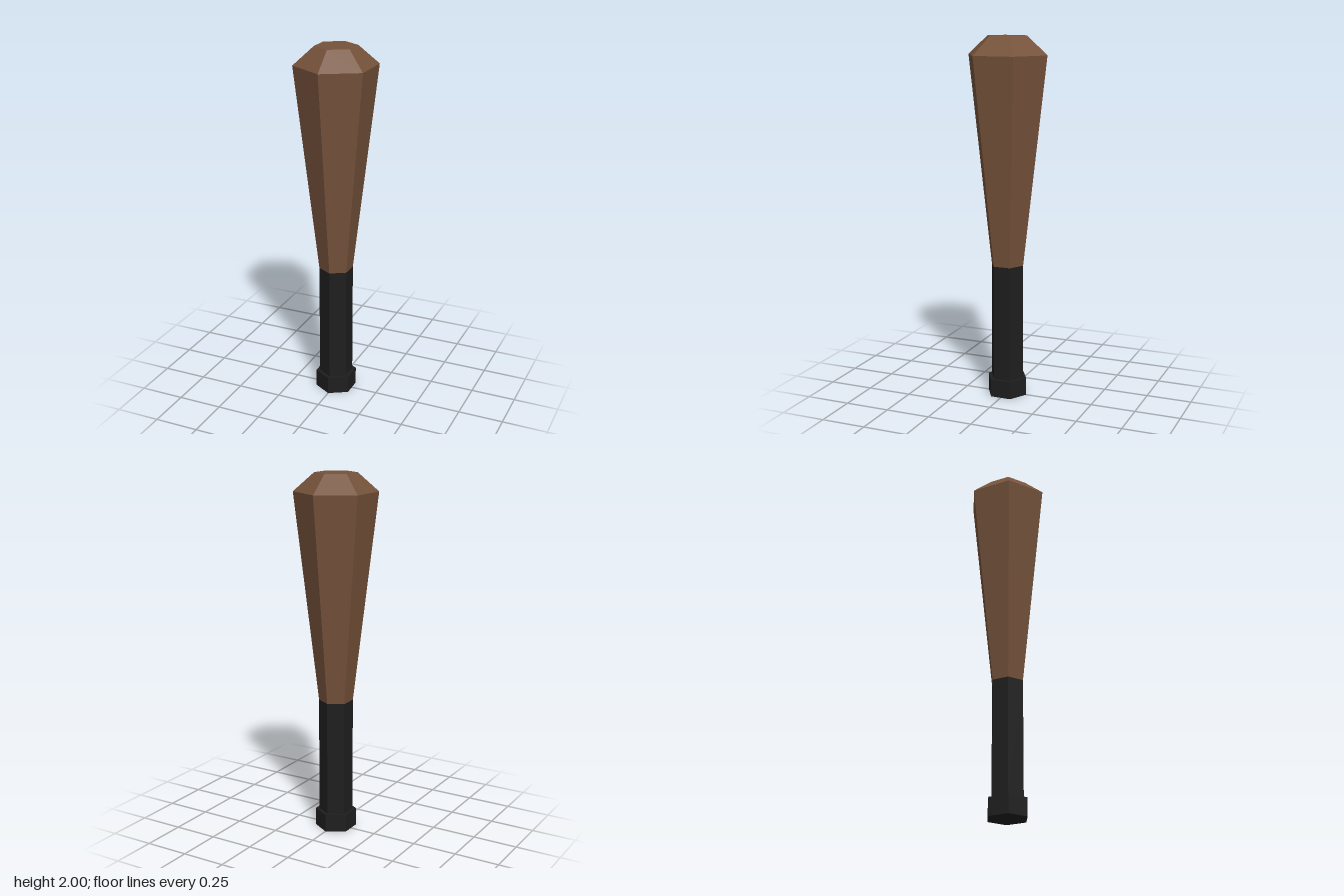
import * as THREE from 'three';

const wood = new THREE.MeshStandardMaterial({ color: 0x75523a, flatShading: true });
const wrap = new THREE.MeshStandardMaterial({ color: 0x1e1e1e, flatShading: true });

// Six-sided section from height y0 to y1, with a corner facing front
function section(name, material, y0, y1, bottomRadius, topRadius, open = false) {
  const geometry = new THREE.CylinderGeometry(topRadius, bottomRadius, y1 - y0, 6, 1, open);
  geometry.translate(0, (y0 + y1) / 2, 0);
  const mesh = new THREE.Mesh(geometry, material);
  mesh.name = name;
  return mesh;
}

// Wooden barrel: one continuous surface, flaring and then bevelled to a flat tip
function barrel() {
  const profile = [[0, 0.75], [0.094, 0.75], [0.228, 1.9], [0.115, 2], [0, 2]]
    .map(([r, y]) => new THREE.Vector2(r, y));
  const mesh = new THREE.Mesh(new THREE.LatheGeometry(profile, 6), wood);
  mesh.name = 'barrel';
  return mesh;
}

export function createModel() {
  const bat = new THREE.Group();
  bat.name = 'bat';
  bat.add(
    section('pommel', wrap, 0, 0.1, 0.115, 0.115),
    section('grip', wrap, 0.1, 0.75, 0.094, 0.094, true),
    barrel(),
  );
  return bat;
}
